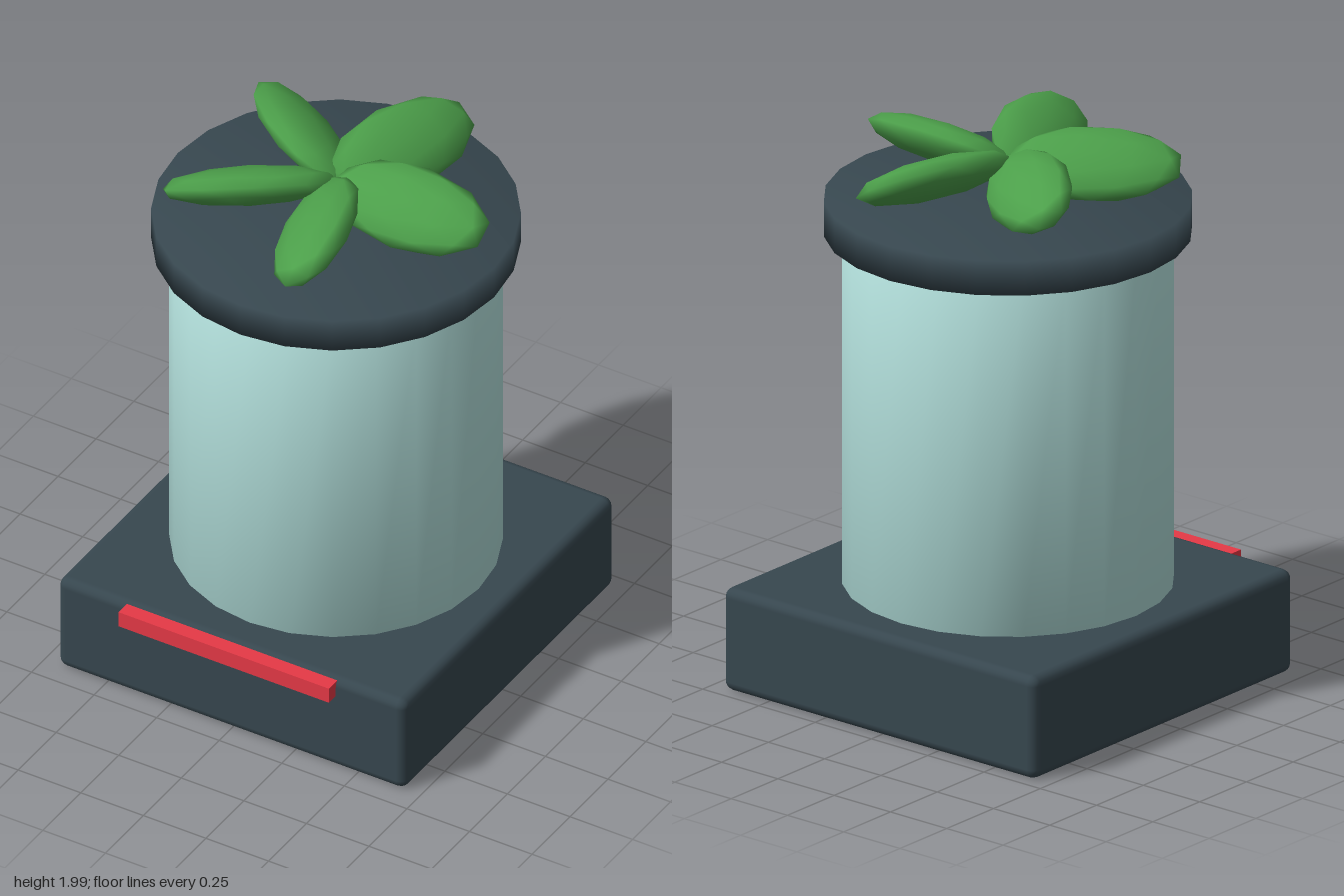
import * as THREE from 'three';
import { mergeVertices } from 'three/addons/utils/BufferGeometryUtils.js';
import { RoundedBoxGeometry } from 'three/addons/geometries/RoundedBoxGeometry.js';

const CENTRE_Z = -0.02;
const LEAF_COUNT = 5;

const material = (color) => new THREE.MeshStandardMaterial({ color });

// Closed drum whose normals blend over the rims
function drum(radius, bottom, top) {
  const geometry = new THREE.CylinderGeometry(radius, radius, top - bottom, 24);
  geometry.deleteAttribute('normal');
  geometry.deleteAttribute('uv');
  const merged = mergeVertices(geometry);
  merged.computeVertexNormals();
  merged.translate(0, (bottom + top) / 2, CENTRE_Z);
  return merged;
}

// Flattened low-poly ellipsoid reaching from the origin along +x, rolled about its length
function leafGeometry() {
  const geometry = new THREE.IcosahedronGeometry(1, 1);
  geometry.rotateZ(Math.atan2(1, (1 + Math.sqrt(5)) / 2)); // a vertex to the top
  geometry.scale(0.31, 0.07, 0.155);
  geometry.rotateX(0.58);
  geometry.translate(0.295, 0, 0);
  return geometry;
}

export function createModel() {
  const model = new THREE.Group();
  model.name = 'plantJar';
  const dark = material(0x37474f);

  const add = (name, geometry, mat, parent = model) => {
    const mesh = new THREE.Mesh(geometry, mat);
    mesh.name = name;
    parent.add(mesh);
    return mesh;
  };

  // Square base with softened edges
  const base = new RoundedBoxGeometry(1.39, 0.375, 1.39, 2, 0.035);
  add('base', base, dark).position.set(0, 0.1925, CENTRE_Z);

  // Red strip on the front of the base
  const strip = new THREE.BoxGeometry(0.84, 0.06, 0.06);
  add('frontStrip', strip, material(0xe63946)).position.set(0, 0.34, 0.69);

  // Jar and lid
  add('jar', drum(0.57, 0.37, 1.66), material(0xb2dfdb));
  add('lid', drum(0.632, 1.65, 1.775), dark);

  // Rosette of leaves above the lid
  const rosette = new THREE.Group();
  rosette.name = 'rosette';
  rosette.position.set(0, 1.9, CENTRE_Z);
  model.add(rosette);
  const leaf = leafGeometry();
  const green = material(0x4c9f4a);
  for (let i = 0; i < LEAF_COUNT; i++) {
    add(`leaf${i + 1}`, leaf, green, rosette).rotation.y = (i * Math.PI * 2) / LEAF_COUNT;
  }

  return model;
}
